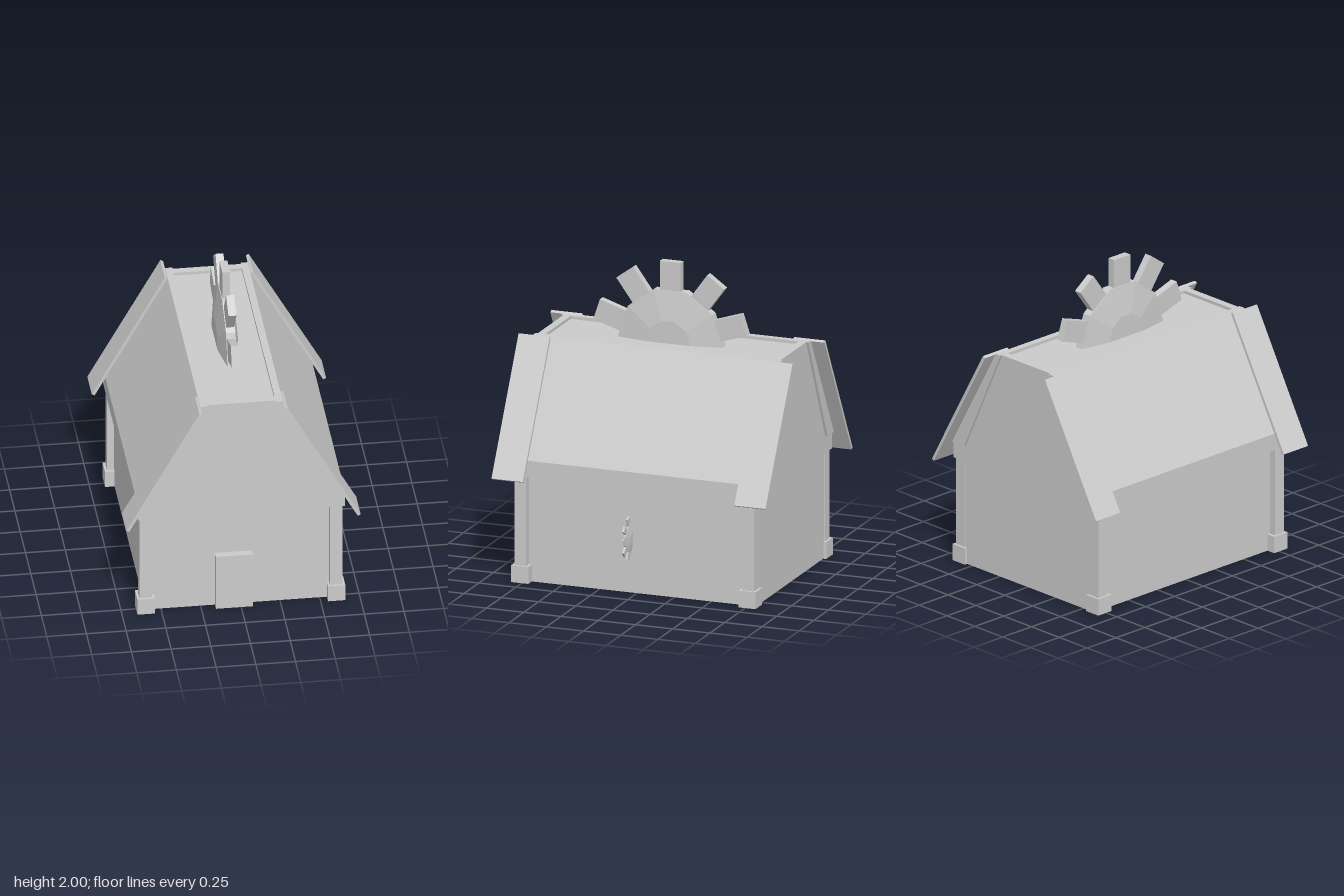
import * as THREE from 'three';

const mat = new THREE.MeshStandardMaterial({ color: 0xcccccc, flatShading: true, side: THREE.DoubleSide });

function add(parent, geometry, name, x = 0, y = 0, z = 0) {
  const mesh = new THREE.Mesh(geometry, mat);
  mesh.name = name;
  mesh.position.set(x, y, z);
  parent.add(mesh);
  return mesh;
}

// Plan outline of the house at one height: four corner posts joined by set-back walls.
// post: outer corner, inner: where the post ends, wall: wall planes (front and back differ)
function ring(y, post, inner, wallX, wallFront, wallBack) {
  const points = [];
  for (const [sx, sz] of [[1, 1], [1, -1], [-1, -1], [-1, 1]]) {
    const wallZ = sz > 0 ? wallFront : wallBack;
    const corner = [
      [inner[0], wallZ], [inner[0], post[1]], [post[0], post[1]],
      [post[0], inner[1]], [wallX, inner[1]],
    ];
    if (sx * sz < 0) corner.reverse();
    for (const [x, z] of corner) points.push(new THREE.Vector3(sx * x, y, sz * z));
  }
  return points;
}

// Skin between successive outlines
function loft(rings) {
  const pts = [];
  for (let j = 0; j < rings.length - 1; j++) {
    const lo = rings[j], hi = rings[j + 1], n = lo.length;
    for (let i = 0; i < n; i++) {
      const k = (i + 1) % n;
      pts.push(lo[i], lo[k], hi[k], lo[i], hi[k], hi[i]);
    }
  }
  const geometry = new THREE.BufferGeometry().setFromPoints(pts);
  geometry.computeVertexNormals();
  return geometry;
}

// Flat outline in x/y, extruded from z0 to z1 and mirrored by signs
function slab(points, sx, sz, z0, z1) {
  const shape = new THREE.Shape(points.map(([x, y]) => new THREE.Vector2(sx * x, y)));
  const geometry = new THREE.ExtrudeGeometry(shape, { depth: z1 - z0, bevelEnabled: false });
  return geometry.translate(0, 0, sz > 0 ? z0 : -z1);
}

// Half sun rising along +y, with its disc in the x/y plane
function halfSun(name) {
  const sun = new THREE.Group();
  sun.name = name;
  const layer = (top, bottom, depth, z) => {
    const g = new THREE.CylinderGeometry(top, bottom, depth, 5, 1, false, -Math.PI / 2, Math.PI);
    add(sun, g.rotateX(-Math.PI / 2), 'sunDisc', 0, 0, z);
  };
  layer(0.35, 0.35, 0.06, 0);
  layer(0.35, 0.15, 0.035, 0.0475);
  layer(0.15, 0.35, 0.035, -0.0475);
  for (let i = -2; i <= 2; i++) {
    const ray = new THREE.BoxGeometry(0.14, 0.22, 0.05).translate(0, 0.41, 0);
    add(sun, ray, 'sunRay').rotation.z = i * Math.PI / 5;
  }
  return sun;
}

export function createModel() {
  const house = new THREE.Group();
  house.name = 'house';

  // Post feet, posts and walls, eaves band, sloping roof, sunken roof top
  const rect = (y, x, z, inner) => ring(y, [x, z], inner, x, z, z);
  const eaves = [0.56, 0.73];
  const crown = [0.2, 0.73];
  add(house, loft([
    ring(0, [0.655, 0.82], [0.545, 0.705], 0.595, 0.765, 0.8),
    ring(0.11, [0.655, 0.82], [0.545, 0.705], 0.595, 0.765, 0.8),
    ring(0.11, [0.64, 0.805], [0.56, 0.725], 0.595, 0.765, 0.8),
    ring(0.69, [0.64, 0.805], [0.56, 0.725], 0.595, 0.765, 0.8),
    rect(0.69, 0.652, 0.815, eaves),
    rect(0.8, 0.652, 0.815, eaves),
    rect(1.5, 0.26, 0.815, crown),
    rect(1.5, 0.215, 0.765, crown),
    rect(1.48, 0.215, 0.765, crown),
  ]), 'wallsAndRoof');
  add(house, new THREE.PlaneGeometry(0.43, 1.53).rotateX(-Math.PI / 2), 'roofTop', 0, 1.48, 0);

  // Gable edge strips and overhanging barge boards
  const strip = [[0.652, 0.8], [0.54, 0.8], [0.215, 1.5], [0.26, 1.5]];
  const board = [[0.72, 0.675], [0.738, 0.685], [0.278, 1.505], [0.26, 1.495]];
  for (const sx of [1, -1]) {
    for (const sz of [1, -1]) {
      add(house, slab(strip, sx, sz, 0.78, 0.83), 'gableStrip');
      add(house, slab(board, sx, sz, 0.71, 0.92), 'bargeBoard');
    }
  }

  // Door
  add(house, new THREE.BoxGeometry(0.235, 0.38, 0.055), 'door', -0.043, 0.19, 0.788);

  // Large sun on the roof, small one on the left wall
  const roofSun = halfSun('roofSun');
  roofSun.rotation.y = Math.PI / 2;
  roofSun.position.set(0.005, 1.48, 0);
  const wallSun = halfSun('wallSun');
  wallSun.rotation.z = -Math.PI / 2;
  wallSun.scale.setScalar(0.275);
  wallSun.position.set(0.593, 0.357, 0.045);
  house.add(roofSun, wallSun);

  return house;
}
